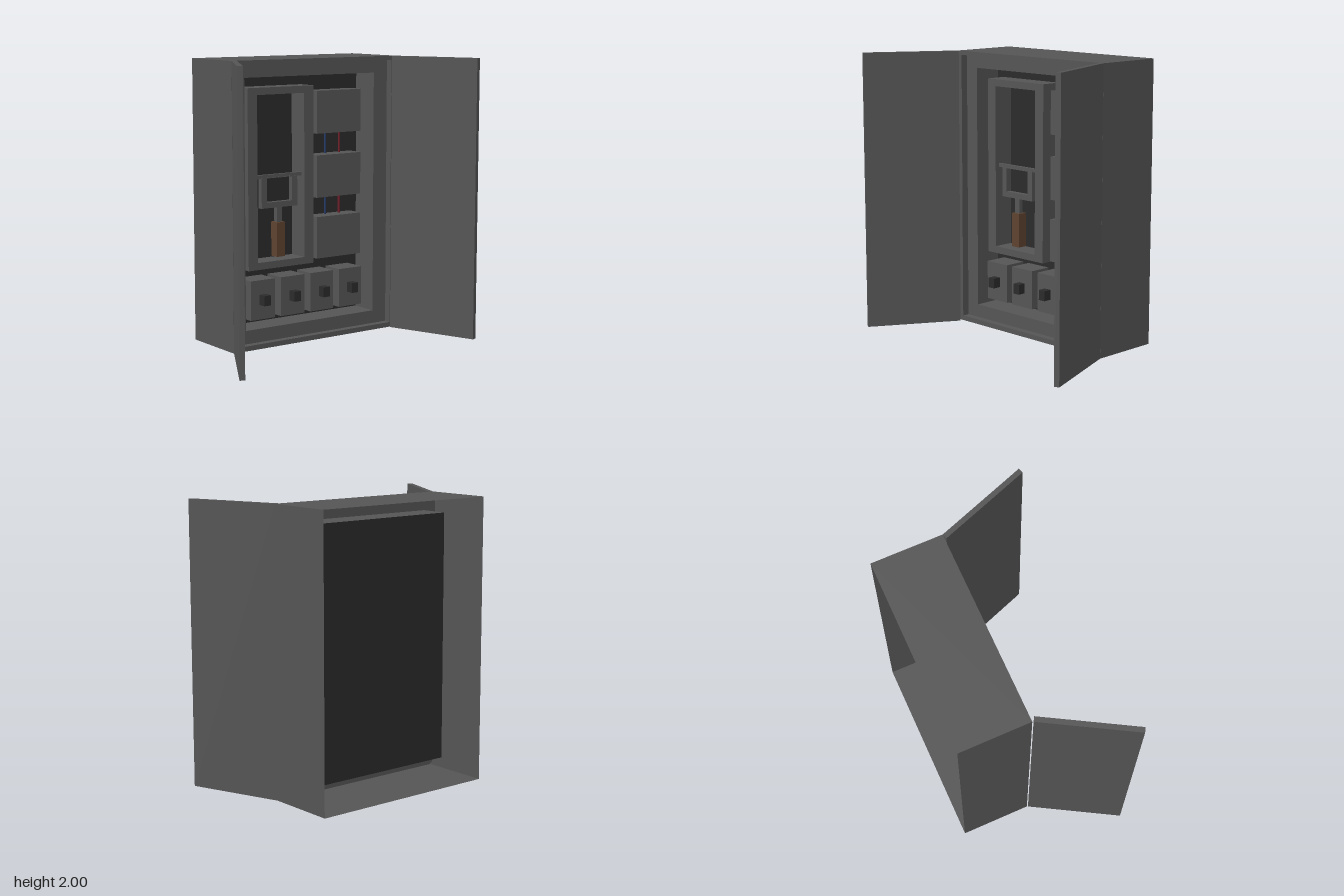
import * as THREE from 'three';

const mat = (color, side = THREE.FrontSide) => new THREE.MeshStandardMaterial({ color, side });

export function createModel() {
  const model = new THREE.Group();
  model.name = 'electricalCabinet';
  const steel = mat(0x555555);
  const shellSteel = mat(0x555555, THREE.DoubleSide);
  const dark = mat(0x2b2b2b);
  const darkThin = mat(0x2b2b2b, THREE.DoubleSide);
  const wood = mat(0x5e4330);
  const red = mat(0x6e1f2a);
  const blue = mat(0x263a66);

  const add = (name, geometry, material, parent = model) => {
    const mesh = new THREE.Mesh(geometry, material);
    mesh.name = name;
    parent.add(mesh);
    return mesh;
  };
  // box given by its extents on each axis
  const block = (name, [x0, x1], [y0, y1], [z0, z1], material, parent) => {
    const mesh = add(name, new THREE.BoxGeometry(x1 - x0, y1 - y0, z1 - z0), material, parent);
    mesh.position.set((x0 + x1) / 2, (y0 + y1) / 2, (z0 + z1) / 2);
    return mesh;
  };

  // Open-backed shell: rectangular sections [x, y0, y1, z0, z1] joined in order,
  // running round the outside, over the rim and down the stepped recess
  const sections = [
    [-0.585, 0, 2, -0.76, 0.64],
    [-0.08, 0, 2, -0.76, 0.64],
    [-0.08, 0.035, 1.97, -0.73, 0.61],
    [-0.133, 0.035, 1.97, -0.73, 0.61],
    [-0.133, 0.13, 1.88, -0.61, 0.505],
    [-0.34, 0.13, 1.88, -0.61, 0.505],
  ];
  const corners = ([x, y0, y1, z0, z1]) => [[x, y0, z1], [x, y0, z0], [x, y1, z0], [x, y1, z1]];
  const positions = [];
  for (let s = 0; s + 1 < sections.length; s++) {
    const a = corners(sections[s]);
    const b = corners(sections[s + 1]);
    for (let i = 0; i < 4; i++) {
      const j = (i + 1) % 4;
      positions.push(...a[i], ...a[j], ...b[j], ...a[i], ...b[j], ...b[i]);
    }
  }
  const shell = new THREE.BufferGeometry();
  shell.setAttribute('position', new THREE.Float32BufferAttribute(positions, 3));
  shell.computeVertexNormals();
  add('cabinetShell', shell, shellSteel);

  // Mounting panel at the bottom of the recess
  const panel = add('mountingPanel', new THREE.PlaneGeometry(1.115, 1.75), darkThin);
  panel.rotation.y = Math.PI / 2;
  panel.position.set(-0.34, 1.005, -0.0525);

  // Two open doors
  const door = (name, x, z, degrees) => {
    const mesh = add(name, new THREE.BoxGeometry(0.69, 2, 0.037), steel);
    mesh.position.set(x, 1, z);
    mesh.rotation.y = THREE.MathUtils.degToRad(degrees);
  };
  door('frontDoor', 0.235, 0.8, -30);
  door('backDoor', 0.25, -0.86, 20);

  const back = -0.338; // rear plane of the fitted equipment

  // Raised frame, extruded along x: shape coordinates are (-z, y)
  const rect = (T, z0, z1, y0, y1) => {
    const path = new T();
    path.moveTo(-z1, y0).lineTo(-z0, y0).lineTo(-z0, y1).lineTo(-z1, y1).closePath();
    return path;
  };
  const frame = (name, outer, inner, x0, x1, parent) => {
    const shape = rect(THREE.Shape, ...outer);
    shape.holes.push(rect(THREE.Path, ...inner));
    const geometry = new THREE.ExtrudeGeometry(shape, { depth: x1 - x0, bevelEnabled: false });
    geometry.rotateY(Math.PI / 2);
    geometry.translate(x0, 0, 0);
    add(name, geometry, steel, parent);
  };
  frame('switchFrame', [-0.11, 0.445, 0.535, 1.805], [-0.03, 0.367, 0.585, 1.755], back, -0.185);

  // Lever switch with a wooden grip
  const lever = new THREE.Group();
  lever.name = 'leverSwitch';
  model.add(lever);
  block('crossBar', [-0.235, -0.21], [1.17, 1.195], [-0.025, 0.36], steel, lever);
  frame('fork', [0.017, 0.32, 0.96, 1.175], [0.062, 0.275, 1, 1.17], -0.245, -0.205, lever);
  block('stem', [-0.242, -0.208], [0.85, 0.965], [0.148, 0.19], steel, lever);
  block('grip', [-0.26, -0.19], [0.61, 0.855], [0.134, 0.204], wood, lever);

  // Three relay boxes
  for (const [y0, y1] of [[0.555, 0.857], [0.997, 1.302], [1.457, 1.762]]) {
    block('relayBox', [back, -0.21], [y0, y1], [-0.55, -0.158], steel);
  }

  // Four breakers with dark toggles
  for (let i = 0; i < 4; i++) {
    const z = 0.338 - i * 0.256;
    block('breaker', [back, -0.17], [0.185, 0.465], [z - 0.101, z + 0.101], steel);
    block('toggle', [-0.18, -0.11], [0.29, 0.362], [z - 0.028, z + 0.028], dark);
  }

  // Wires between the boxes
  const wire = (name, y, z, length, material, sideways) => {
    const mesh = add(name, new THREE.CylinderGeometry(0.008, 0.008, length, 8), material);
    mesh.position.set(-0.3, y, z);
    if (sideways) mesh.rotation.x = Math.PI / 2;
  };
  for (const y of [0.927, 1.38]) {
    wire('blueWire', y, -0.297, 0.17, blue);
    wire('redWire', y, -0.422, 0.17, red);
  }
  wire('redWire', 1.605, -0.134, 0.06, red, true);
  wire('blueWire', 1.157, -0.134, 0.06, blue, true);

  return model;
}
